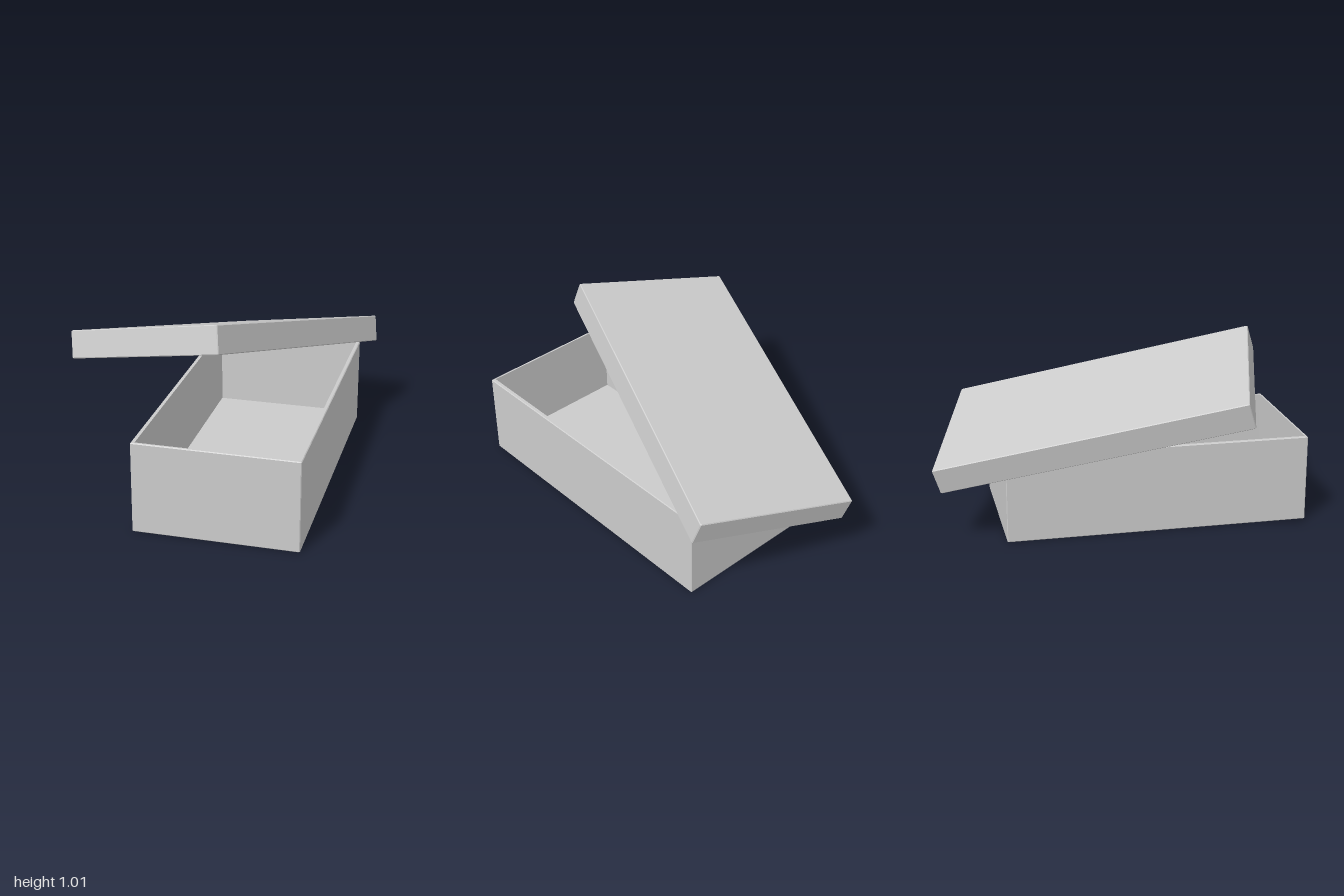
import * as THREE from 'three';

// Ring of eight corners: a rectangle with slightly clipped corners at height y
function ring(x, z, y, c) {
  return [
    [x, c - z], [x, z - c], [x - c, z], [c - x, z],
    [-x, z - c], [-x, c - z], [c - x, -z], [x - c, -z],
  ].map(([px, pz]) => [px, y, pz]);
}

// Open tray standing on y = 0: the profile runs from the underside centre,
// up the outside, over the rim and down to the centre of the inner floor
function trayGeometry(width, height, depth, wallX, wallZ, floor) {
  const hx = width / 2, hz = depth / 2, c = 0.004;
  const rings = [
    ring(0, 0, 0, 0),
    ring(hx - c, hz - c, 0, c),
    ring(hx, hz, c, c),
    ring(hx, hz, height - c, c),
    ring(hx - c, hz - c, height, c),
    ring(hx - wallX, hz - wallZ, height, 0),
    ring(hx - wallX, hz - wallZ, floor, 0),
    ring(0, 0, floor, 0),
  ];
  const positions = [];
  for (let i = 0; i < rings.length - 1; i++) {
    for (let j = 0; j < 8; j++) {
      const k = (j + 1) % 8;
      const a = rings[i][j], b = rings[i][k];
      const d = rings[i + 1][j], e = rings[i + 1][k];
      positions.push(...a, ...d, ...b, ...b, ...d, ...e);
    }
  }
  const geometry = new THREE.BufferGeometry();
  geometry.setAttribute('position', new THREE.Float32BufferAttribute(positions, 3));
  geometry.computeVertexNormals();
  return geometry;
}

export function createModel() {
  const group = new THREE.Group();
  group.name = 'boxWithLid';
  const material = new THREE.MeshStandardMaterial({ color: 0xcccccc, flatShading: true });

  // Box standing on the ground
  const box = new THREE.Mesh(trayGeometry(0.827, 0.47, 1.628, 0.02, 0.013, 0.042), material);
  box.name = 'box';
  box.position.set(0.189, 0, 0.186);
  group.add(box);

  // Lid: a shallow tray turned over, tilted and twisted on top of the box
  const lid = new THREE.Mesh(trayGeometry(0.878, 0.142, 1.663, 0.02, 0.013, 0.042), material);
  lid.name = 'lid';
  const across = new THREE.Vector3(0.825, 0.187, 0.237).normalize();
  const along = new THREE.Vector3(-0.535, 0.422, 1.517).normalize();
  const down = new THREE.Vector3().crossVectors(across, along).normalize();
  const side = new THREE.Vector3().crossVectors(across, down);
  lid.quaternion.setFromRotationMatrix(new THREE.Matrix4().makeBasis(across, down, side));
  lid.position.set(-0.01, 0.704, -0.123);
  group.add(lid);

  return group;
}
